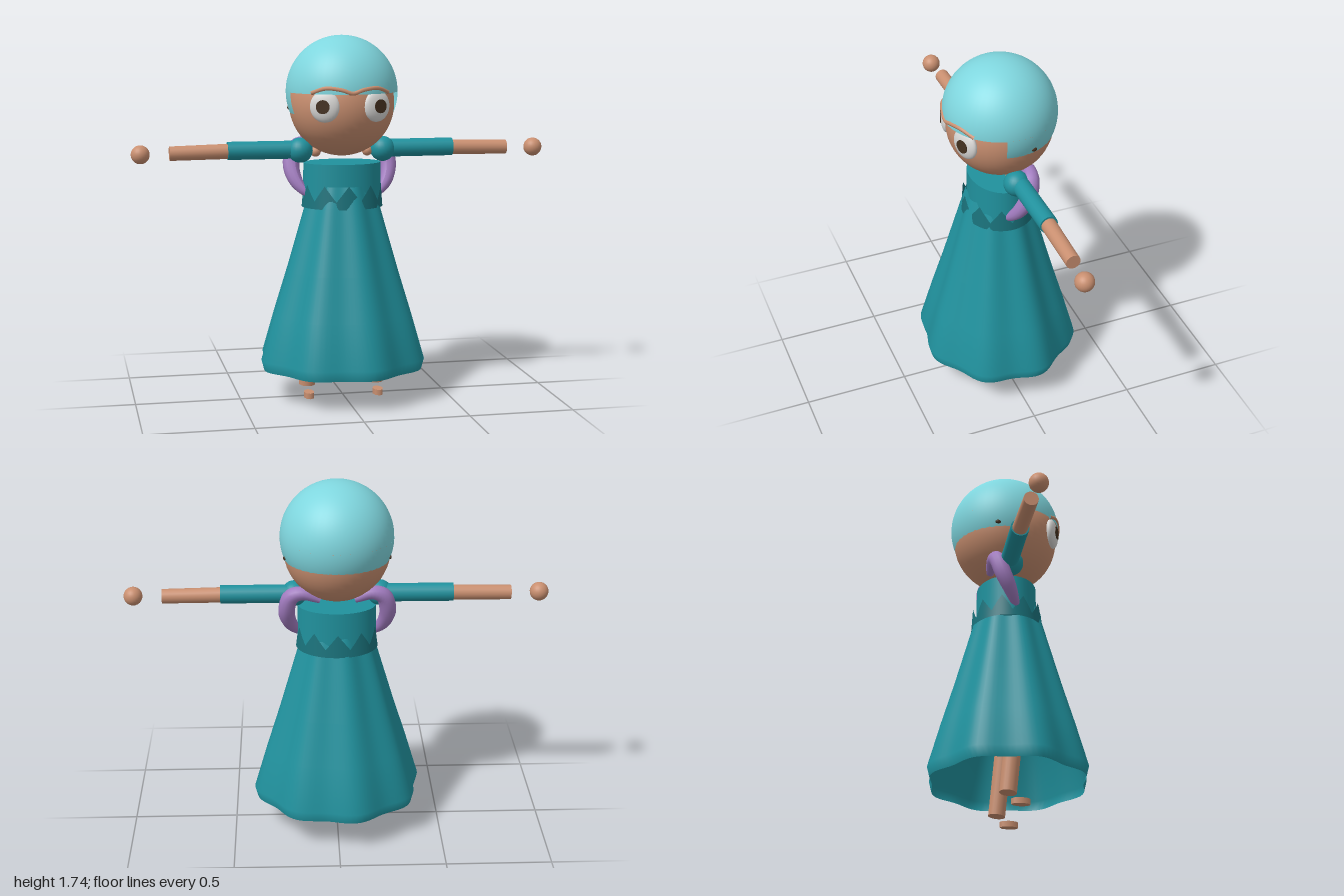
import * as THREE from 'three';
import { mergeVertices } from 'three/addons/utils/BufferGeometryUtils.js';

const mat = (name, color, side = THREE.FrontSide) => {
  const m = new THREE.MeshStandardMaterial({ color, side });
  m.name = name;
  return m;
};
const V = (x, y, z) => new THREE.Vector3(x, y, z);

export function createModel() {
  const model = new THREE.Group();
  const hairBlue = mat('hair blue', 0x7fd6de, THREE.DoubleSide);
  const teal = mat('dress teal', 0x20919d, THREE.DoubleSide);
  const darkTeal = mat('waistband teal', 0x1a727b, THREE.DoubleSide);
  const skin = mat('skin', 0xc98f70);
  const white = mat('eye white', 0xd9d8d6);
  const brown = mat('iris brown', 0x43301f);
  const purple = mat('scarf purple', 0xa27cc0);

  const add = (name, geometry, material, pos = [0, 0, 0], parent = model) => {
    const mesh = new THREE.Mesh(geometry, material);
    mesh.name = name;
    mesh.position.set(...pos);
    parent.add(mesh);
    return mesh;
  };
  // Round limb between two points
  const limb = (name, a, b, rA, rB, material) => {
    const dir = b.clone().sub(a);
    const mesh = add(name, new THREE.CylinderGeometry(rB, rA, dir.length(), 20), material);
    mesh.position.copy(a).add(b).multiplyScalar(0.5);
    mesh.quaternion.setFromUnitVectors(V(0, 1, 0), dir.normalize());
    return mesh;
  };
  const ball = (name, r, material, pos) => add(name, new THREE.SphereGeometry(r, 24, 16), material, pos);

  // Tube whose thickness follows a function of its length
  const taperedTube = (points, radius, segments = 28, sides = 12) => {
    const curve = new THREE.CatmullRomCurve3(points);
    const g = new THREE.TubeGeometry(curve, segments, 1, sides);
    const p = g.attributes.position;
    const v = V(0, 0, 0);
    for (let i = 0; i < p.count; i++) {
      const t = Math.floor(i / (sides + 1)) / segments;
      const c = curve.getPointAt(t);
      v.fromBufferAttribute(p, i).sub(c).multiplyScalar(radius(t)).add(c);
      p.setXYZ(i, v.x, v.y, v.z);
    }
    g.computeVertexNormals();
    return g;
  };

  // Head and helmet of hair, open over the face
  add('head', new THREE.SphereGeometry(0.25, 40, 28), skin, [0, 1.415, -0.015]);
  const R = 0.265, hairY = 1.47, hairZ = -0.015;
  add('hairCap', new THREE.SphereGeometry(R, 48, 20, 0, Math.PI * 2, 0, Math.PI / 2), hairBlue, [0, hairY, hairZ]);
  add('hairBack', new THREE.SphereGeometry(R, 40, 20, Math.PI - 0.25, Math.PI + 0.5, Math.PI / 2, Math.PI * 0.38),
    hairBlue, [0, hairY, hairZ]);

  // Brow ridge lying on the front of the hair
  const brow = [[-0.18, 1.475], [-0.12, 1.497], [-0.05, 1.49], [0, 1.475], [0.05, 1.49], [0.12, 1.497], [0.18, 1.475]]
    .map(([x, y]) => V(x, y, hairZ - 0.003 + Math.sqrt(R * R - x * x - (y - hairY) ** 2)));
  add('brow', taperedTube(brow, () => 0.01, 40, 8), skin);

  // Pleated skirt: a lathe with ripples around its axis
  let skirt = new THREE.LatheGeometry(
    [[0.383, 0.15], [0.396, 0.2], [0.335, 0.41], [0.27, 0.62], [0.18, 0.93], [0.15, 1.03]]
      .map(([x, y]) => new THREE.Vector2(x, y)), 96);
  const sp = skirt.attributes.position;
  for (let i = 0; i < sp.count; i++) {
    const x = sp.getX(i), z = sp.getZ(i);
    const k = 1 + 0.038 * Math.cos(8 * (Math.atan2(z, x) + 0.23));
    sp.setXYZ(i, x * k, sp.getY(i), z * k * 0.94);
  }
  skirt.deleteAttribute('uv');
  skirt.deleteAttribute('normal');
  skirt = mergeVertices(skirt);
  skirt.computeVertexNormals();
  add('skirt', skirt, teal);

  // Bodice
  const bodice = add('bodice', new THREE.CylinderGeometry(0.185, 0.188, 0.205, 40), teal, [0, 1.032, -0.008]);
  bodice.scale.z = 0.765;

  // Waistband with a zigzag upper edge
  const band = new THREE.CylinderGeometry(0.187, 0.194, 0.07, 80, 1, true);
  const bp = band.attributes.position;
  for (let i = 0; i < bp.count; i++) {
    if (bp.getY(i) < 0) continue;
    const a = (i % 81) / 80 * 10;
    bp.setY(i, 0.0 + 0.075 * Math.abs((a % 1) * 2 - 1));
  }
  add('waistband', band, darkTeal, [0, 0.96, -0.005]).scale.z = 0.88;

  for (const s of [-1, 1]) {
    const side = s > 0 ? 'left' : 'right';

    // Eye
    const eye = new THREE.Group();
    eye.name = side + 'Eye';
    eye.position.set(s * 0.122, 1.413, 0.198);
    eye.rotation.y = s * 0.4;
    model.add(eye);
    add(side + 'EyeWhite', new THREE.SphereGeometry(0.07, 28, 18), white, [0, 0, 0], eye).scale.set(1, 1.05, 0.4);
    const iris = add(side + 'Iris', new THREE.CylinderGeometry(0.032, 0.032, 0.006, 24), brown, [s * 0.004, 0, 0.026], eye);
    iris.rotation.x = Math.PI / 2;

    // Small ear mark and neck nub
    add(side + 'EarMark', new THREE.SphereGeometry(0.014, 10, 8), brown, [s * 0.243, 1.39, -0.085])
      .scale.set(0.5, 0.7, 1);
    add(side + 'NeckNub', new THREE.SphereGeometry(0.025, 14, 10), skin, [s * 0.125, 1.185, -0.02]);

    // Arm
    ball(side + 'Shoulder', 0.06, teal, [s * 0.2, 1.193, -0.018]);
    limb(side + 'Sleeve', V(s * 0.2, 1.195, -0.028), V(s * 0.545, 1.195, -0.03), 0.043, 0.043, teal);
    limb(side + 'Forearm', V(s * 0.54, 1.193, -0.03), V(s * 0.817, 1.188, -0.026), 0.036, 0.034, skin);
    ball(side + 'Hand', 0.044, skin, [s * 0.953, 1.187, -0.017]);

    // Scarf end hooked over the shoulder
    add(side + 'Scarf', taperedTube([
      V(s * 0.08, 1.19, -0.1), V(s * 0.16, 1.22, -0.095), V(s * 0.215, 1.2, -0.085), V(s * 0.237, 1.12, -0.06),
      V(s * 0.222, 1.05, -0.025), V(s * 0.185, 1.0, 0.005), V(s * 0.14, 0.97, 0.025),
    ], t => 0.004 + 0.036 * Math.sin(Math.PI * Math.min(1, t * 0.92 + 0.08)) ** 0.7), purple);

    // Leg and foot
    limb(side + 'Shin', V(s * 0.17, 0.052, -0.026), V(s * 0.16, 0.42, 0.01), 0.04, 0.042, skin);
    limb(side + 'Thigh', V(s * 0.16, 0.42, 0.01), V(s * 0.1, 0.9, 0), 0.045, 0.05, skin);
    add(side + 'Foot', new THREE.CylinderGeometry(0.5, 0.5, 0.027, 8), skin, [s * 0.17, 0.0135, 0.032])
      .scale.set(0.05, 1, 0.088);
  }
  return model;
}
